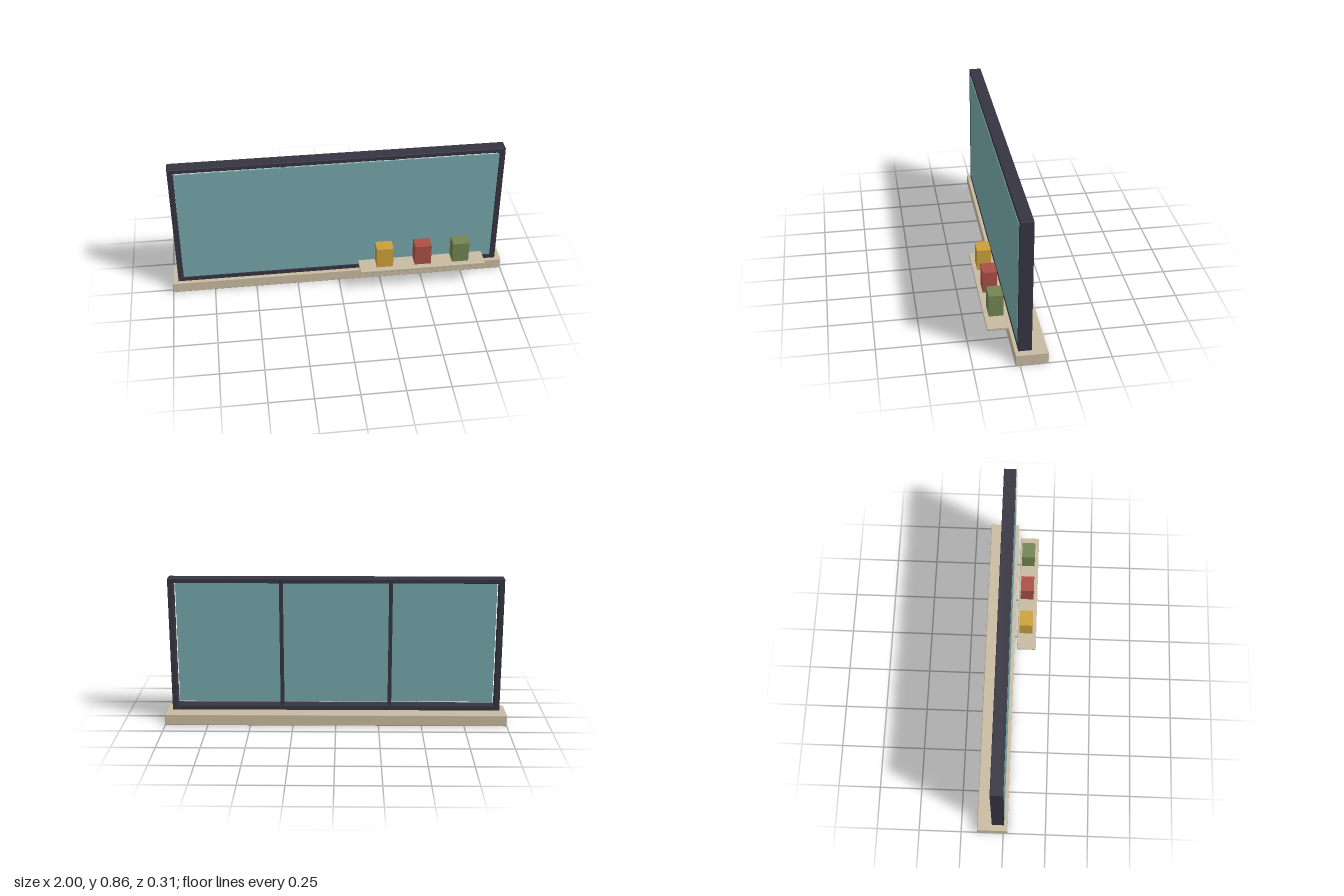
import * as THREE from 'three';
import { RoundedBoxGeometry } from 'three/addons/geometries/RoundedBoxGeometry.js';

const mat = (name, color) => {
  const m = new THREE.MeshStandardMaterial({ color });
  m.name = name;
  return m;
};

export function createModel() {
  const root = new THREE.Group();
  root.name = 'windowWithShelf';
  const stone = mat('beige', 0xc8baa0);
  const dark = mat('darkFrame', 0x353441);
  const glass = mat('tealGlass', 0x74a6aa);

  // Box given by its low and high limits on each axis, with an optional edge radius
  function box(name, material, [x0, x1], [y0, y1], [z0, z1], radius = 0, parent = root) {
    const size = [x1 - x0, y1 - y0, z1 - z0];
    const geo = radius
      ? new RoundedBoxGeometry(...size, 2, radius)
      : new THREE.BoxGeometry(...size);
    const mesh = new THREE.Mesh(geo, material);
    mesh.name = name;
    mesh.position.set((x0 + x1) / 2, (y0 + y1) / 2, (z0 + z1) / 2);
    parent.add(mesh);
    return mesh;
  }

  // Sill
  box('sill', stone, [-1, 1], [0, 0.067], [-0.155, 0.025], 0.005);

  // Outer frame
  const depth = [-0.068, 0.004];
  box('bottomRail', dark, [-0.965, 0.965], [0.066, 0.092], depth);
  box('topRail', dark, [-0.965, 0.965], [0.835, 0.862], depth, 0.003);
  for (const [side, s] of [['left', 1], ['right', -1]]) {
    const xs = s > 0 ? [0.936, 0.965] : [-0.965, -0.936];
    box(side + 'Post', dark, xs, [0.09, 0.837], depth);
    // Mullion behind the pane
    const cx = 0.317 * s;
    box(side + 'Mullion', dark, [cx - 0.01, cx + 0.01], [0.09, 0.837], [-0.052, -0.004]);
  }

  // Pane, set in with a narrow gap all round
  box('pane', glass, [-0.931, 0.931], [0.098, 0.829], [-0.003, 0.005]);

  // Shelf with three canisters
  box('shelf', stone, [0.113, 0.865], [0.141, 0.157], [0.042, 0.157], 0.004);
  const canisters = [
    ['yellow', 0xcb9f3a, 0.262],
    ['red', 0xa94f45, 0.49],
    ['green', 0x728452, 0.717],
  ];
  for (const [name, color, x] of canisters) {
    const group = new THREE.Group();
    group.name = name + 'Canister';
    root.add(group);
    box('body', mat(name, color), [x - 0.049, x + 0.049], [0.163, 0.293], [0.053, 0.133], 0, group);
    // Small plate on the side facing the pane
    box('label', stone, [x - 0.03, x + 0.03], [0.215, 0.241], [0.048, 0.054], 0, group);
  }
  return root;
}
